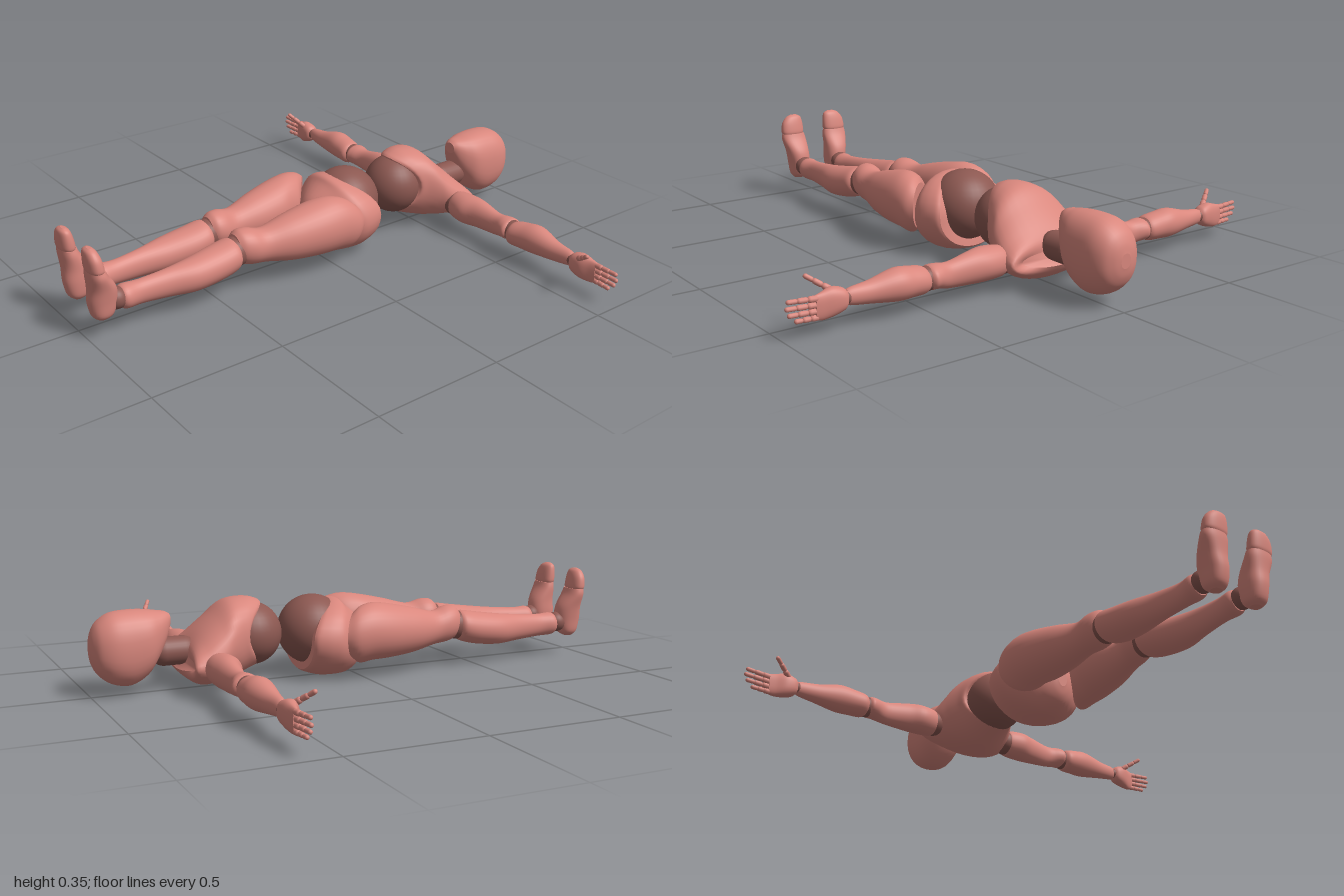
import * as THREE from 'three';

const skin = new THREE.MeshStandardMaterial({ color: 0xd9877d });
skin.name = 'salmon shell';
const joint = new THREE.MeshStandardMaterial({ color: 0x8c5851 });
joint.name = 'dark joint';

// Smooth interpolation of the section rows
function refine(rows, steps) {
  const out = [];
  const at = (i, k) => rows[Math.min(Math.max(i, 0), rows.length - 1)][k] ?? 0;
  for (let i = 0; i < rows.length - 1; i++) {
    for (let j = 0; j < steps; j++) {
      const t = j / steps;
      out.push([...Array(8).keys()].map((k) => {
        const p0 = at(i - 1, k), p1 = at(i, k), p2 = at(i + 1, k), p3 = at(i + 2, k);
        return p1 + 0.5 * t * (p2 - p0 + t * (2 * p0 - 5 * p1 + 4 * p2 - p3 + t * (3 * (p1 - p2) + p3 - p0)));
      }));
    }
  }
  out.push([...Array(8).keys()].map((k) => at(rows.length - 1, k)));
  return out;
}

// Lofted body. Row: [t, centre a, centre b, radius a, radius b, side arch, skew, front shift].
// The axes (a, b, t) are (y,z,x), (z,x,y) or (x,y,z); side = -1 mirrors in x.
function loft(name, axis, rows, { side = 1, power = 2, sides = 32, steps = 5 } = {}) {
  const T = 'xyz'.indexOf(axis), A = (T + 1) % 3, B = (T + 2) % 3;
  const pos = [], idx = [];
  const rings = refine(rows, steps).map(([t, a, b, ra, rb, arch, skew, front]) => {
    const ring = [];
    for (let j = 0; j < sides; j++) {
      const th = (j / sides) * Math.PI * 2, c = Math.cos(th), s = Math.sin(th);
      const p = [0, 0, 0];
      p[A] = a + ra * Math.sign(c) * Math.abs(c) ** (2 / power);
      p[B] = b + rb * Math.sign(s) * Math.abs(s) ** (2 / power);
      p[T] = t + arch * c * c + skew * c + front * Math.max(s, 0) ** 2;
      p[0] *= side;
      ring.push(p);
    }
    return ring;
  });
  const flip = side < 0;
  const tri = (a, b, c) => (flip ? idx.push(a, c, b) : idx.push(a, b, c));
  rings.forEach((r) => r.forEach((p) => pos.push(...p)));
  for (let i = 0; i < rings.length - 1; i++) {
    for (let j = 0; j < sides; j++) {
      const k = (j + 1) % sides, a = i * sides, b = a + sides;
      tri(a + j, a + k, b + k);
      tri(a + j, b + k, b + j);
    }
  }
  // End caps with their own vertices keep a crisp rim
  [rings[0], rings[rings.length - 1]].forEach((r, end) => {
    const start = pos.length / 3;
    r.forEach((p) => pos.push(...p));
    pos.push(...[0, 1, 2].map((k) => r.reduce((sum, p) => sum + p[k], 0) / sides));
    for (let j = 0; j < sides; j++) {
      const k = (j + 1) % sides;
      if (end) tri(start + j, start + k, start + sides);
      else tri(start + k, start + j, start + sides);
    }
  });
  const g = new THREE.BufferGeometry();
  g.setAttribute('position', new THREE.Float32BufferAttribute(pos, 3));
  g.setIndex(idx);
  g.computeVertexNormals();
  const m = new THREE.Mesh(g, skin);
  m.name = name;
  return m;
}

function ball(name, x, y, z, r, mat = joint) {
  const m = new THREE.Mesh(new THREE.SphereGeometry(r, 32, 20), mat);
  m.position.set(x, y, z);
  m.name = name;
  return m;
}

// Chain of tapered capsules for fingers and thumbs
function digit(name, from, to, r, side) {
  const g = new THREE.Group();
  g.name = name;
  const a = new THREE.Vector3(...from), b = new THREE.Vector3(...to);
  a.x *= side;
  b.x *= side;
  const dir = b.clone().sub(a), len = dir.length() / 3;
  for (let i = 0; i < 3; i++) {
    const rad = r * (1 - 0.12 * i);
    const m = new THREE.Mesh(new THREE.CapsuleGeometry(rad, Math.max(len - 1.5 * rad, 0.004), 4, 10), skin);
    m.position.copy(a).addScaledVector(dir, (i + 0.5) / 3);
    m.quaternion.setFromUnitVectors(new THREE.Vector3(0, 1, 0), dir.clone().normalize());
    m.name = name + 'Segment';
    g.add(m);
  }
  return g;
}

function arm(side) {
  const g = new THREE.Group();
  g.name = side > 0 ? 'leftArm' : 'rightArm';
  g.add(
    ball('shoulderJoint', side * 0.18, 0.108, -0.592, 0.05),
    loft('upperArm', 'x', [
      [0.178, 0.108, -0.592, 0.04, 0.04], [0.19, 0.108, -0.592, 0.054, 0.052],
      [0.25, 0.108, -0.59, 0.059, 0.06], [0.31, 0.107, -0.597, 0.056, 0.047],
      [0.4, 0.1, -0.598, 0.045, 0.034], [0.45, 0.106, -0.598, 0.042, 0.046],
      [0.475, 0.106, -0.598, 0.04, 0.05], [0.488, 0.106, -0.6, 0.03, 0.034]], { side }),
    ball('elbowJoint', side * 0.487, 0.104, -0.597, 0.041),
    loft('forearm', 'x', [
      [0.488, 0.103, -0.597, 0.034, 0.038], [0.505, 0.103, -0.594, 0.046, 0.051],
      [0.55, 0.107, -0.598, 0.051, 0.053], [0.61, 0.11, -0.602, 0.054, 0.052],
      [0.7, 0.104, -0.598, 0.038, 0.034], [0.765, 0.104, -0.598, 0.03, 0.023],
      [0.785, 0.104, -0.598, 0.024, 0.018]], { side }),
    ball('wristJoint', side * 0.787, 0.104, -0.597, 0.023),
    loft('palm', 'x', [
      [0.785, 0.103, -0.597, 0.024, 0.02], [0.8, 0.102, -0.596, 0.037, 0.03],
      [0.835, 0.1, -0.595, 0.047, 0.029], [0.87, 0.094, -0.599, 0.045, 0.018],
      [0.895, 0.093, -0.601, 0.04, 0.011]], { side, power: 2.4 }),
    digit('thumb', [0.825, 0.13, -0.58], [0.897, 0.18, -0.538], 0.011, side));
  // Four fingers fanned across the palm
  [0.988, 0.993, 0.985, 0.962].forEach((tip, i) =>
    g.add(digit('finger', [0.885, 0.122 - i * 0.02, -0.602], [tip, 0.127 - i * 0.022, -0.594], 0.0105, side)));
  return g;
}

function leg(side) {
  const g = new THREE.Group();
  g.name = side > 0 ? 'leftLeg' : 'rightLeg';
  g.add(
    // Thigh, with its upper end cut on the diagonal
    loft('thigh', 'z', [
      [-0.045, 0.128, 0.17, 0.068, 0.085, 0, -0.055], [-0.02, 0.132, 0.17, 0.086, 0.106, 0, -0.045],
      [0.03, 0.132, 0.178, 0.093, 0.108, 0, -0.03], [0.1, 0.124, 0.174, 0.096, 0.103, 0, -0.01],
      [0.2, 0.114, 0.167, 0.083, 0.088], [0.3, 0.104, 0.164, 0.061, 0.066],
      [0.36, 0.094, 0.173, 0.066, 0.07], [0.395, 0.09, 0.178, 0.06, 0.065],
      [0.415, 0.09, 0.18, 0.045, 0.05]], { side }),
    ball('kneeJoint', side * 0.091, 0.165, 0.415, 0.056),
    loft('shin', 'z', [
      [0.415, 0.093, 0.16, 0.05, 0.045], [0.435, 0.093, 0.16, 0.068, 0.06],
      [0.5, 0.094, 0.147, 0.071, 0.064], [0.6, 0.099, 0.135, 0.061, 0.061],
      [0.7, 0.094, 0.132, 0.041, 0.052], [0.8, 0.088, 0.131, 0.035, 0.045],
      [0.86, 0.088, 0.133, 0.044, 0.045], [0.88, 0.088, 0.133, 0.035, 0.036]], { side }),
    ball('ankleJoint', side * 0.09, 0.138, 0.893, 0.04),
    // Foot and toe cap point upward
    loft('foot', 'y', [
      [0.08, 0.95, 0.09, 0.018, 0.02], [0.1, 0.947, 0.09, 0.04, 0.037],
      [0.15, 0.945, 0.091, 0.052, 0.044], [0.2, 0.947, 0.096, 0.048, 0.048],
      [0.25, 0.963, 0.102, 0.034, 0.054], [0.275, 0.968, 0.103, 0.028, 0.05]], { side, power: 2.3 }),
    loft('toeCap', 'y', [
      [0.272, 0.97, 0.104, 0.025, 0.046], [0.285, 0.971, 0.104, 0.028, 0.051],
      [0.32, 0.975, 0.102, 0.025, 0.047], [0.345, 0.978, 0.096, 0.018, 0.034],
      [0.355, 0.979, 0.094, 0.006, 0.014]], { side, power: 2.3 }));
  return g;
}

export function createModel() {
  const model = new THREE.Group();
  model.name = 'mannequin';

  // Head, from crown to chin
  model.add(loft('head', 'z', [
    [-1, 0, 0.175, 0.02, 0.025], [-0.992, 0, 0.175, 0.046, 0.06], [-0.97, 0, 0.174, 0.076, 0.096],
    [-0.925, 0, 0.172, 0.095, 0.126], [-0.86, 0, 0.171, 0.097, 0.134], [-0.8, 0, 0.186, 0.09, 0.116],
    [-0.76, 0, 0.211, 0.069, 0.085], [-0.73, 0, 0.238, 0.045, 0.053],
    [-0.713, 0, 0.26, 0.025, 0.022]], { power: 2.3 }));

  const neck = new THREE.Mesh(new THREE.CapsuleGeometry(0.052, 0.07, 8, 28), joint);
  neck.rotation.x = Math.PI / 2;
  neck.position.set(0, 0.145, -0.7);
  neck.name = 'neck';
  model.add(neck);

  // Chest shell with a hem arched over the flanks
  model.add(loft('chest', 'z', [
    [-0.69, 0, 0.105, 0.14, 0.025, 0.03, 0, 0.03], [-0.665, 0, 0.107, 0.195, 0.058, -0.012, 0, 0.012],
    [-0.62, 0, 0.115, 0.196, 0.095], [-0.56, 0, 0.143, 0.18, 0.123],
    [-0.5, 0, 0.173, 0.16, 0.143, -0.02], [-0.43, 0, 0.19, 0.138, 0.135, -0.05],
    [-0.385, 0, 0.193, 0.126, 0.121, -0.07], [-0.37, 0, 0.193, 0.116, 0.112, -0.08]].map((r) => r)));

  model.add(ball('bellyBall', 0, 0.185, -0.407, 0.117));
  model.add(ball('hipBall', 0, 0.18, -0.158, 0.132));

  // Pelvis shell, cut low at the front
  model.add(loft('pelvis', 'z', [
    [-0.215, 0, 0.16, 0.155, 0.128, 0, 0, 0.105], [-0.2, 0, 0.158, 0.17, 0.136, 0, 0, 0.1],
    [-0.15, 0, 0.152, 0.186, 0.145, 0, 0, 0.07], [-0.1, 0, 0.148, 0.184, 0.145, 0, 0, 0.04],
    [-0.04, 0, 0.14, 0.145, 0.133], [0.01, 0, 0.132, 0.085, 0.1],
    [0.035, 0, 0.128, 0.045, 0.065], [0.045, 0, 0.128, 0.02, 0.03]]));

  for (const side of [1, -1]) model.add(arm(side), leg(side));
  return model;
}
